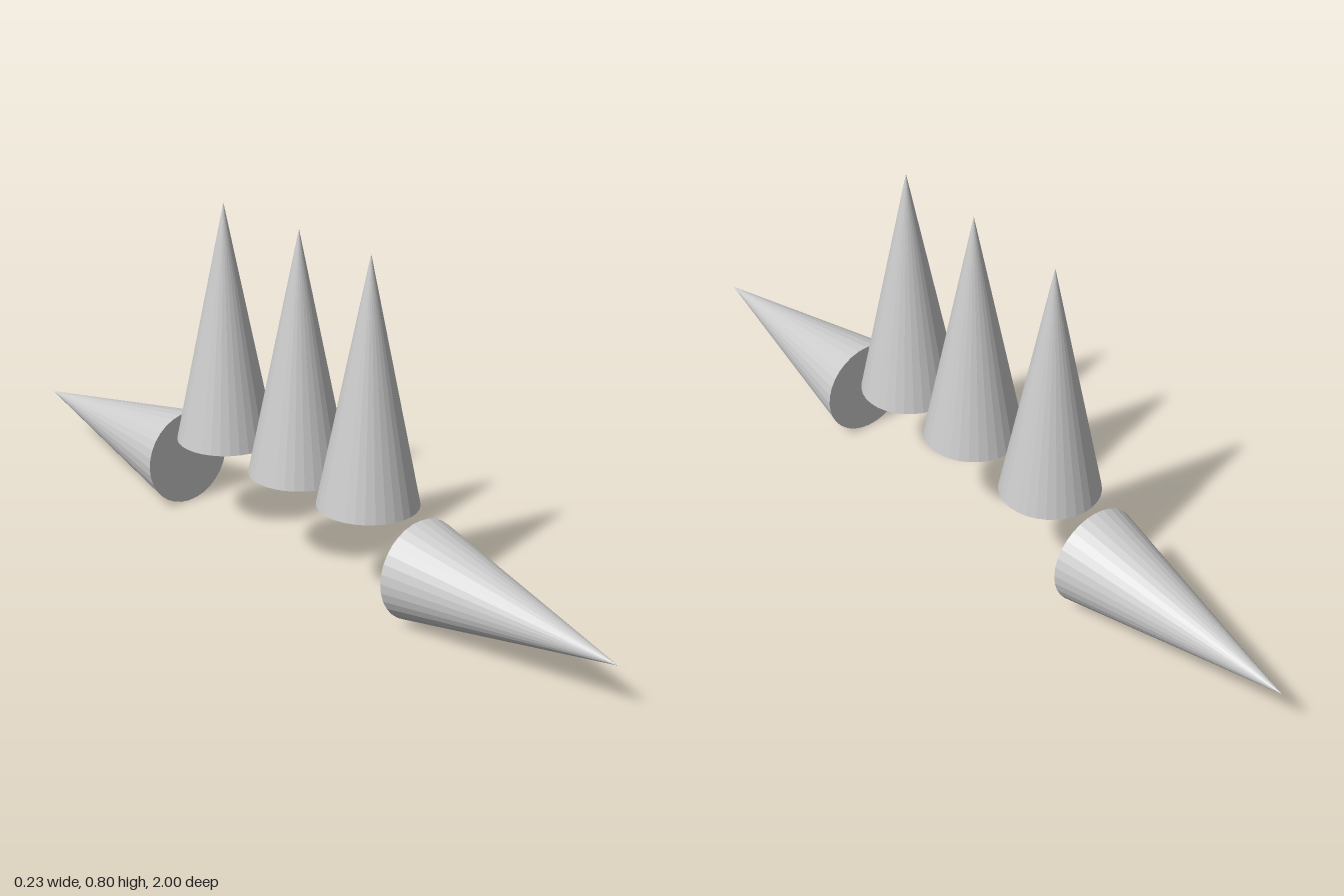
import * as THREE from 'three';

const RADIUS = 0.117;
const LENGTH = 0.583;

export function createModel() {
  const model = new THREE.Group();
  const material = new THREE.MeshStandardMaterial({ color: 0xcccccc, flatShading: true });

  // Cone with the centre of its base at the origin, pointing up
  const geometry = new THREE.ConeGeometry(RADIUS, LENGTH, 32);
  geometry.translate(0, LENGTH / 2, 0);

  function addSpike(name, y, z, tilt = 0) {
    const spike = new THREE.Mesh(geometry, material);
    spike.name = name;
    spike.position.set(0, y, z);
    spike.rotation.x = tilt;
    model.add(spike);
  }

  // Row of upright spikes, slightly unevenly spaced
  addSpike('frontUprightSpike', 0.215, 0.245);
  addSpike('middleUprightSpike', 0.215, 0.005);
  addSpike('backUprightSpike', 0.215, -0.265);

  // Spikes lying flat at both ends, pointing outwards
  addSpike('frontSpike', RADIUS, 1 - LENGTH, Math.PI / 2);
  addSpike('backSpike', RADIUS, LENGTH - 1, -Math.PI / 2);

  return model;
}
